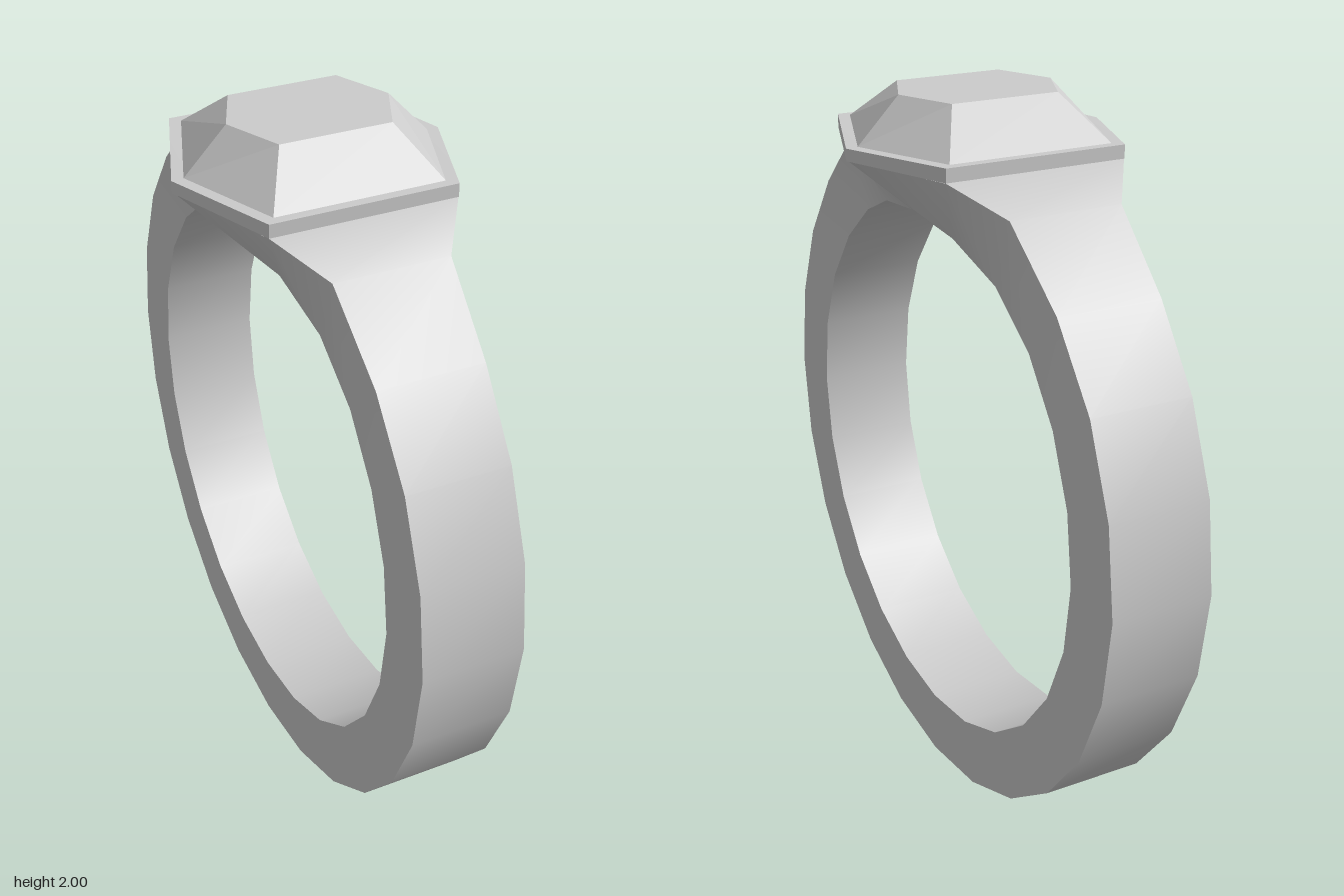
import * as THREE from 'three';
import { toCreasedNormals } from 'three/addons/utils/BufferGeometryUtils.js';

const material = new THREE.MeshStandardMaterial({ color: 0xcccccc });

// Skin a row of equal-sized point rings; optionally join last to first or cap the end.
function loft(rings, { closed = false, cap = false, crease = 0.05 } = {}) {
  const n = rings[0].length;
  const index = [];
  const spans = closed ? rings.length : rings.length - 1;
  for (let r = 0; r < spans; r++) {
    const lo = r * n;
    const hi = ((r + 1) % rings.length) * n;
    for (let i = 0; i < n; i++) {
      const j = (i + 1) % n;
      index.push(lo + i, lo + j, hi + j, lo + i, hi + j, hi + i);
    }
  }
  if (cap) {
    const top = (rings.length - 1) * n;
    for (let i = 1; i < n - 1; i++) index.push(top, top + i, top + i + 1);
  }
  const geometry = new THREE.BufferGeometry();
  geometry.setAttribute('position', new THREE.Float32BufferAttribute(rings.flat(2), 3));
  geometry.setIndex(index);
  return toCreasedNormals(geometry, crease);
}

// Stretched hexagon: tips on the x axis, four corners at (+-cx, +-cz).
function hexagon(tipX, tipY, cx, cy, cz) {
  return [
    [tipX, tipY, 0], [cx, cy, -cz], [-cx, cy, -cz],
    [-tipX, tipY, 0], [-cx, cy, cz], [cx, cy, cz],
  ];
}

function add(group, name, geometry) {
  const mesh = new THREE.Mesh(geometry, material);
  mesh.name = name;
  group.add(mesh);
}

export function createModel() {
  const group = new THREE.Group();
  group.name = 'ring';

  // Band: 24 sections, flaring into shoulders near the top
  const SEGMENTS = 24, CENTER = 0.943, OUTER = 0.943, INNER = 0.755, HALF = 0.14;
  // By steps from the top: outer half width, inner half width, outer z, outer y
  const shoulders = [
    [0.365, 0.185, 0, 1.85],
    [0.25, 0.17, 0.32, 1.853],
    [0.155, 0.146, 0.462, 1.785],
    [0.143, HALF, 0.667, 1.61],
  ];
  const sections = [];
  for (let i = 0; i < SEGMENTS; i++) {
    const angle = (i / SEGMENTS) * Math.PI * 2;
    const s = Math.sin(angle), c = Math.cos(angle);
    const [wo, wi, oz, oy] = shoulders[Math.min(i, SEGMENTS - i)]
      ?? [HALF, HALF, OUTER * Math.abs(s), CENTER + OUTER * c];
    const z = oz * (i > SEGMENTS / 2 ? -1 : 1);
    const iy = CENTER + INNER * c, iz = INNER * s;
    sections.push([[wo, oy, z], [-wo, oy, z], [-wi, iy, iz], [wi, iy, iz]]);
  }
  add(group, 'band', loft(sections, { closed: true, crease: 0.75 }));

  // Bezel: thin hexagonal wall with a narrow flat rim
  const rim = hexagon(0.335, 1.881, 0.227, 1.89, 0.295);
  add(group, 'bezel', loft([
    hexagon(0.367, 1.848, 0.25, 1.854, 0.322),
    hexagon(0.367, 1.88, 0.25, 1.89, 0.322),
    rim,
  ]));

  // Gem: six sloping facets and a flat table
  add(group, 'gem', loft([rim, hexagon(0.22, 2, 0.15, 2, 0.158)], { cap: true }));

  return group;
}
